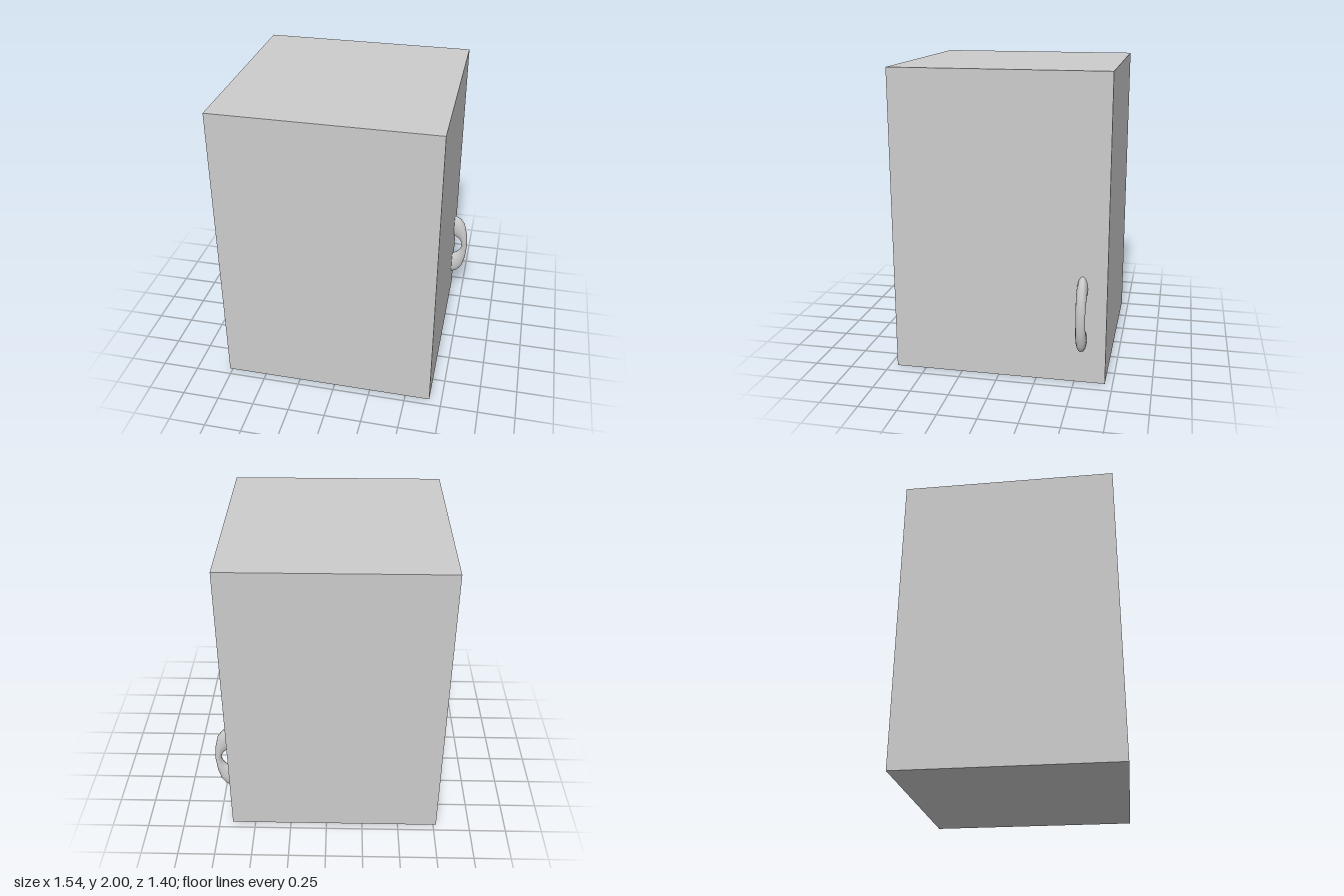
import * as THREE from 'three';

const material = new THREE.MeshStandardMaterial({ color: 0xcccccc, side: THREE.DoubleSide });

function addBox(group, name, size, position) {
  const mesh = new THREE.Mesh(new THREE.BoxGeometry(...size), material);
  mesh.name = name;
  mesh.position.set(...position);
  group.add(mesh);
  return mesh;
}

// Handle cross-sections from top to bottom: outer x, outer y, inner x, inner y, half width
const stations = [
  [0.640, 0.725, 0.640, 0.560, 0.034],
  [0.665, 0.722, 0.665, 0.550, 0.034],
  [0.702, 0.706, 0.690, 0.534, 0.034],
  [0.738, 0.661, 0.708, 0.516, 0.033],
  [0.760, 0.570, 0.723, 0.492, 0.031],
  [0.770, 0.475, 0.728, 0.466, 0.030],
  [0.760, 0.365, 0.720, 0.438, 0.031],
  [0.738, 0.275, 0.705, 0.415, 0.033],
  [0.702, 0.228, 0.688, 0.398, 0.034],
  [0.665, 0.212, 0.665, 0.383, 0.034],
  [0.640, 0.210, 0.640, 0.373, 0.034],
];

// Elliptical rings joined along the arch
function handleGeometry(sides = 16) {
  const positions = [], index = [];
  stations.forEach(([ox, oy, ix, iy, w], i) => {
    for (let j = 0; j < sides; j++) {
      const a = (j / sides) * Math.PI * 2;
      const c = Math.cos(a) / 2;
      positions.push((ox + ix) / 2 + (ox - ix) * c, (oy + iy) / 2 + (oy - iy) * c, w * Math.sin(a));
      if (i < stations.length - 1) {
        const p = i * sides + j, q = i * sides + (j + 1) % sides;
        index.push(p, q, p + sides, q, q + sides, p + sides);
      }
    }
  });
  const geometry = new THREE.BufferGeometry();
  geometry.setAttribute('position', new THREE.Float32BufferAttribute(positions, 3));
  geometry.setIndex(index);
  geometry.computeVertexNormals();
  return geometry;
}

export function createModel() {
  const group = new THREE.Group();
  group.name = 'cabinet';

  addBox(group, 'body', [1.4, 2, 1.4], [-0.07, 1, 0]);

  // Door on the +x side, a hair out of square
  const door = addBox(group, 'door', [0.037, 2, 1.4], [0.645, 1, 0]);
  door.rotation.y = 0.005;

  const handle = new THREE.Mesh(handleGeometry(), material);
  handle.name = 'handle';
  handle.position.z = -0.543;
  group.add(handle);

  return group;
}
